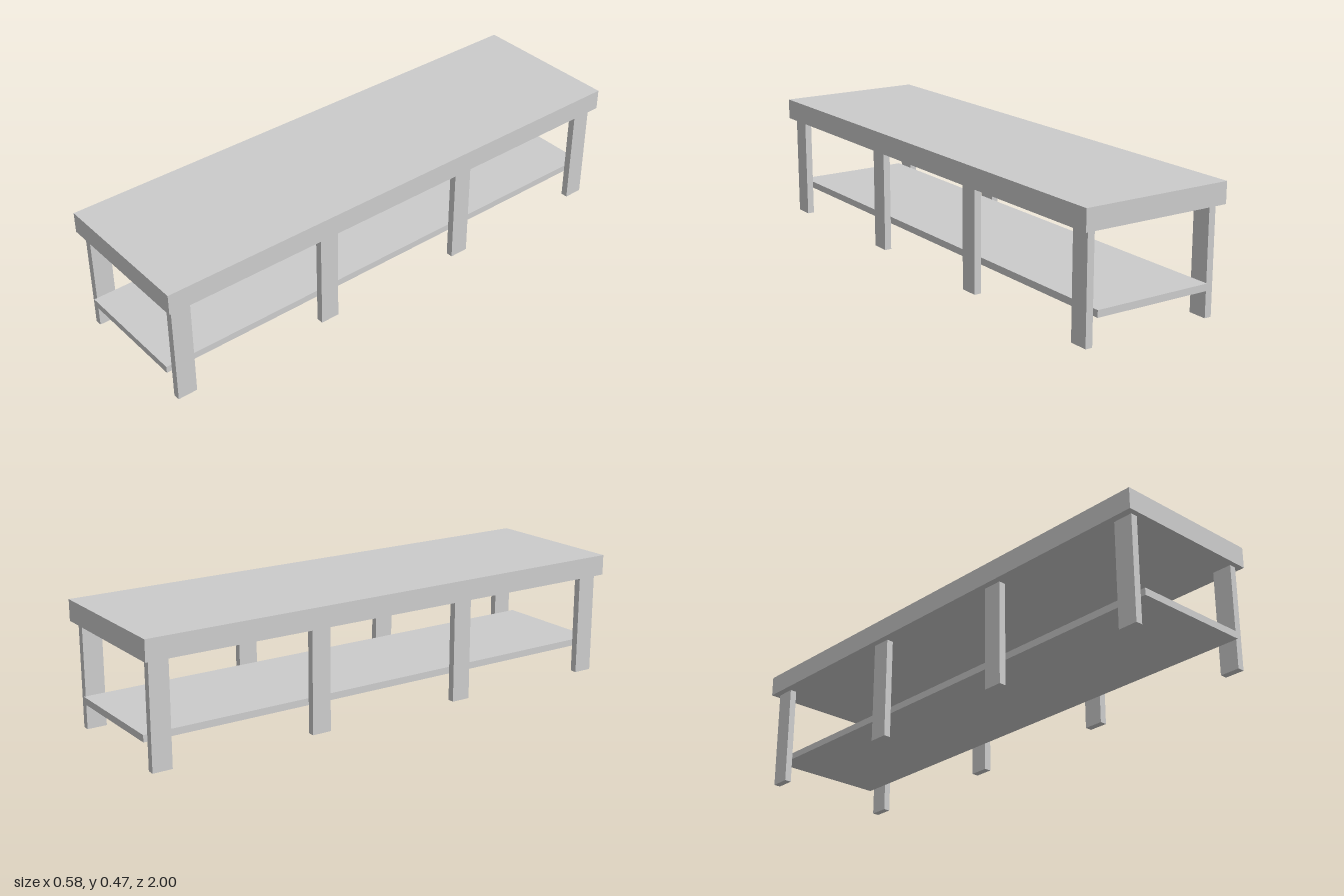
import * as THREE from 'three';

const material = new THREE.MeshStandardMaterial({ color: 0xcccccc, flatShading: true });

// Box given by its lower and upper limits on each axis
function slab(name, [x0, x1], [y0, y1], [z0, z1]) {
  const mesh = new THREE.Mesh(new THREE.BoxGeometry(x1 - x0, y1 - y0, z1 - z0), material);
  mesh.name = name;
  mesh.position.set((x0 + x1) / 2, (y0 + y1) / 2, (z0 + z1) / 2);
  return mesh;
}

export function createModel() {
  const bench = new THREE.Group();
  bench.name = 'workbench';

  // Thick top and thin lower shelf
  bench.add(slab('tableTop', [-0.292, 0.292], [0.395, 0.474], [-1, 1]));
  bench.add(slab('lowerShelf', [-0.232, 0.231], [0.102, 0.128], [-0.99, 0.995]));

  // Four pairs of flat legs, front to back, set slightly unevenly
  const legWidth = 0.027, legDepth = 0.075;
  const pairs = [
    { z: 0.943, left: 0.2545, right: -0.2515 },
    { z: 0.318, left: 0.2475, right: -0.2535 },
    { z: -0.31, left: 0.2535, right: -0.2535 },
    { z: -0.941, left: 0.2545, right: -0.2525 },
  ];
  pairs.forEach(({ z, left, right }, i) => {
    for (const [side, x] of [['left', left], ['right', right]]) {
      bench.add(slab(`${side}Leg${i + 1}`,
        [x - legWidth / 2, x + legWidth / 2], [0, 0.395],
        [z - legDepth / 2, z + legDepth / 2]));
    }
  });

  return bench;
}
